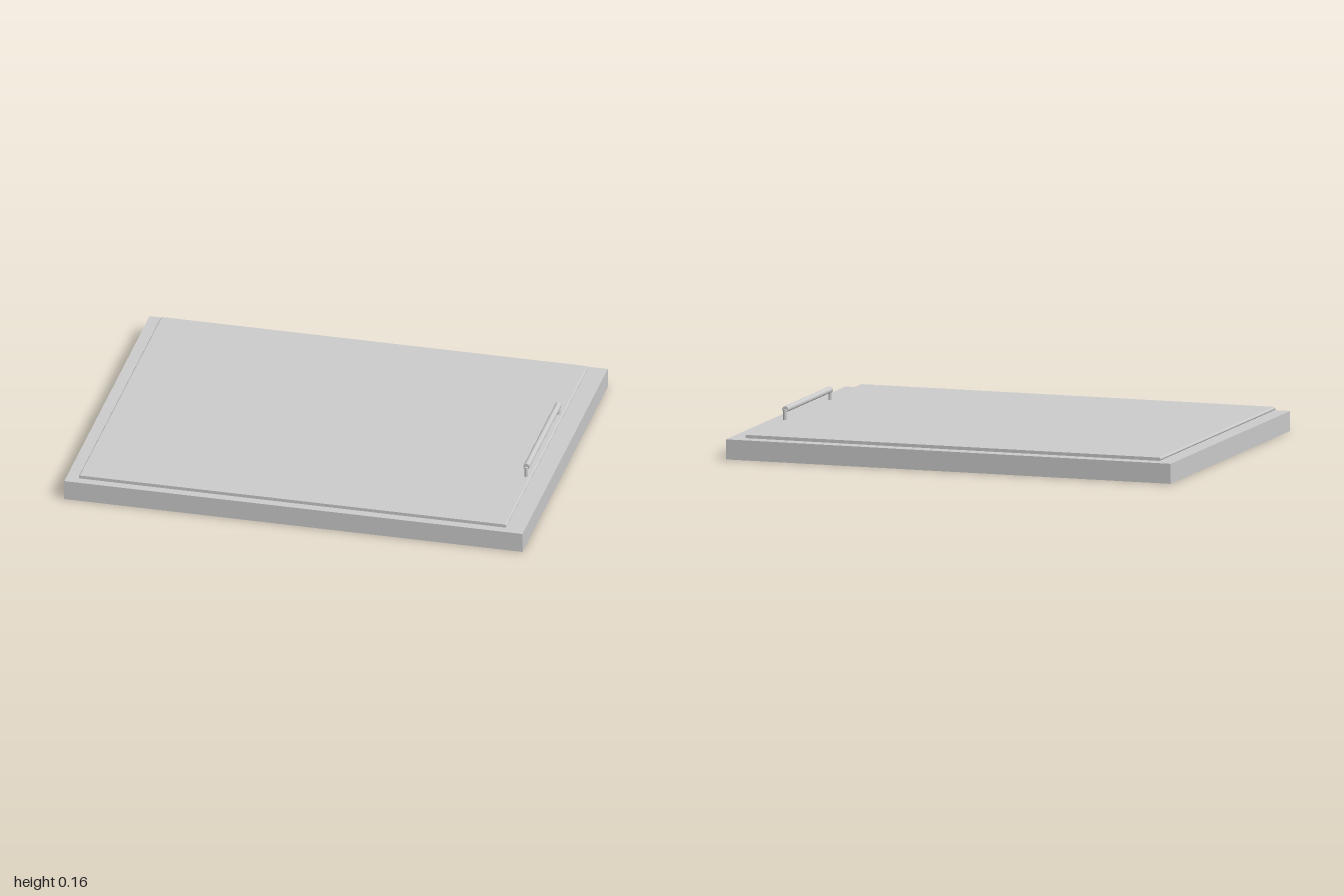
import * as THREE from 'three';

const material = new THREE.MeshStandardMaterial({ color: 0xcccccc });

function addPart(group, name, geometry, x, y, z) {
  const mesh = new THREE.Mesh(geometry, material);
  mesh.name = name;
  mesh.position.set(x, y, z);
  group.add(mesh);
  return mesh;
}

// Thin sheet with rounded left and right edges, centred on the origin
function panelGeometry(width, height, depth) {
  const r = height / 2;
  const half = width / 2 - r;
  const shape = new THREE.Shape();
  shape.moveTo(-half, -r);
  shape.lineTo(half, -r);
  shape.absarc(half, 0, r, -Math.PI / 2, Math.PI / 2, false);
  shape.lineTo(-half, r);
  shape.absarc(-half, 0, r, Math.PI / 2, Math.PI * 1.5, false);
  const geometry = new THREE.ExtrudeGeometry(shape, { depth, bevelEnabled: false, curveSegments: 8 });
  return geometry.translate(0, 0, -depth / 2);
}

export function createModel() {
  const model = new THREE.Group();
  model.name = 'handledPanel';

  // Slab body
  addPart(model, 'base', new THREE.BoxGeometry(2, 0.086, 1.524), 0, 0.043, 0);

  // Raised sheet, set slightly off centre
  addPart(model, 'frontPanel', panelGeometry(1.866, 0.014, 1.464), -0.011, 0.098, 0);

  // Bar handle on two posts
  const handle = new THREE.Group();
  handle.name = 'handle';
  handle.position.x = 0.901;
  model.add(handle);

  const bar = addPart(handle, 'handleBar', new THREE.CylinderGeometry(0.0135, 0.0135, 0.572, 24), 0, 0.149, 0);
  bar.rotation.x = Math.PI / 2;

  for (const side of [-1, 1]) {
    addPart(handle, 'handlePost', new THREE.CylinderGeometry(0.008, 0.008, 0.062, 16), 0, 0.117, side * 0.288);
  }

  return model;
}
